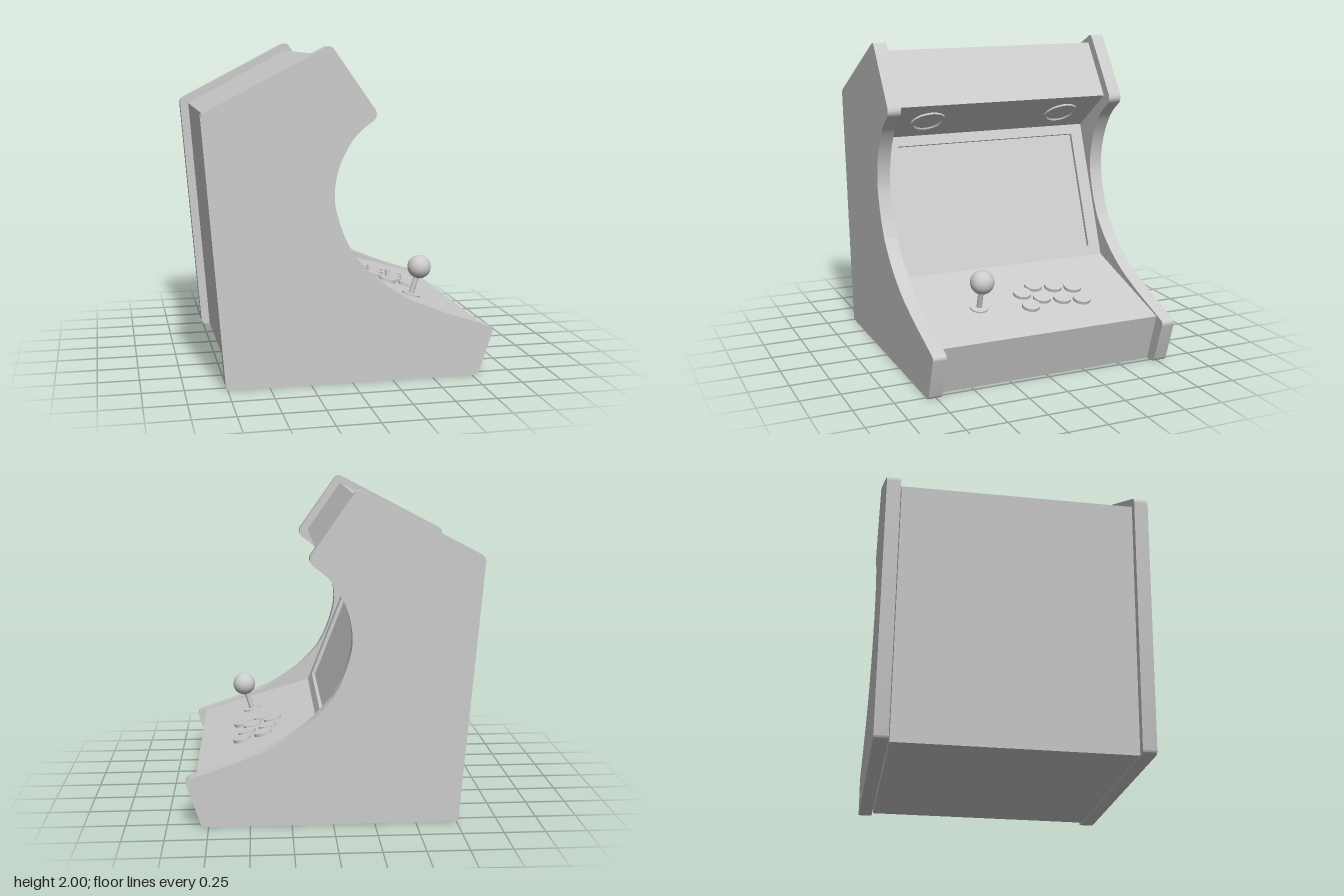
import * as THREE from 'three';
import { toCreasedNormals } from 'three/addons/utils/BufferGeometryUtils.js';

const grey = new THREE.MeshStandardMaterial({ color: 0xcccccc });

function addMesh(parent, name, geometry) {
  const mesh = new THREE.Mesh(geometry, grey);
  mesh.name = name;
  parent.add(mesh);
  return mesh;
}

function extrude(shape, z0, z1, crease = 0.45) {
  const g = new THREE.ExtrudeGeometry(shape, { depth: z1 - z0, bevelEnabled: false, curveSegments: 14 });
  g.translate(0, 0, z0);
  return toCreasedNormals(g, crease);
}

// Group whose local y axis points along the surface normal (nx, ny)
function mount(parent, name, x, y, z, nx, ny) {
  const group = new THREE.Group();
  group.name = name;
  group.position.set(x, y, z);
  group.rotation.z = Math.atan2(-nx, ny);
  parent.add(group);
  return group;
}

// Cabinet side outline with rounded corners and a curved cutout
function sideShape() {
  const v = (x, y) => new THREE.Vector2(x, y);
  const s = new THREE.Shape();
  s.moveTo(-0.73, 0);
  s.lineTo(0.765, 0);
  s.quadraticCurveTo(0.79, 0, 0.798, 0.025);
  s.lineTo(0.878, 0.268);
  s.quadraticCurveTo(0.885, 0.292, 0.86, 0.302);
  s.lineTo(0.6, 0.391);
  s.splineThru([v(0.5, 0.43), v(0.35, 0.495), v(0.2, 0.59), v(0.09, 0.685), v(0.008, 0.779)]);
  s.splineThru([v(-0.045, 0.88), v(-0.085, 0.99), v(-0.109, 1.1), v(-0.103, 1.22),
    v(-0.068, 1.34), v(-0.005, 1.455), v(0.055, 1.52), v(0.118, 1.568)]);
  s.quadraticCurveTo(0.153, 1.598, 0.128, 1.638);
  s.lineTo(-0.115, 1.982);
  s.quadraticCurveTo(-0.135, 2.01, -0.167, 1.993);
  s.lineTo(-0.862, 1.63);
  s.quadraticCurveTo(-0.888, 1.616, -0.885, 1.585);
  s.lineTo(-0.762, 0.03);
  s.quadraticCurveTo(-0.759, 0, -0.73, 0);
  return s;
}

export function createModel() {
  const model = new THREE.Group();
  model.name = 'arcadeCabinet';

  // Side panels
  const side = sideShape();
  addMesh(model, 'leftSidePanel', extrude(side, 0.72, 0.805));
  addMesh(model, 'rightSidePanel', extrude(side, -0.805, -0.72));

  // Body between the panels, with the screen face set back
  const zMin = -0.712, zMax = 0.72, recess = 0.025;
  const top = new THREE.Vector2(-0.25, 1.38), bottom = new THREE.Vector2(0.08, 0.53);
  const up = top.clone().sub(bottom).normalize();
  const out = new THREE.Vector2(up.y, -up.x);
  const topIn = top.clone().addScaledVector(out, -recess);
  const bottomIn = bottom.clone().addScaledVector(out, -recess);
  const body = new THREE.Shape([
    new THREE.Vector2(-0.705, 0.005), new THREE.Vector2(0.725, 0.005), new THREE.Vector2(0.82, 0.315),
    bottom, bottomIn, topIn, top,
    new THREE.Vector2(0.08, 1.62), new THREE.Vector2(-0.15, 1.95), new THREE.Vector2(-0.83, 1.59),
  ]);
  addMesh(model, 'body', extrude(body, zMin, zMax, 0.1));

  // Bezel around the recessed screen
  const length = top.distanceTo(bottom);
  const rect = (C, x0, y0, x1, y1) => new C([[x0, y0], [x1, y0], [x1, y1], [x0, y1]].map(p => new THREE.Vector2(...p)));
  const bezel = rect(THREE.Shape, -zMax, 0, -zMin, length);
  bezel.holes.push(rect(THREE.Path, -0.63, 0.065, 0.63, length - 0.065));
  const bezelMesh = addMesh(model, 'screenBezel', extrude(bezel, -recess, 0, 0.1));
  bezelMesh.applyMatrix4(new THREE.Matrix4().makeBasis(
    new THREE.Vector3(0, 0, -1), new THREE.Vector3(up.x, up.y, 0), new THREE.Vector3(out.x, out.y, 0),
  ).setPosition(bottom.x, bottom.y, 0));

  // Speaker rings under the marquee
  const ring = toCreasedNormals(new THREE.LatheGeometry(
    [[0.113, 0], [0.113, 0.012], [0.097, 0.012], [0.09, 0.003], [0, 0.003]].map(p => new THREE.Vector2(...p)), 40), 0.4);
  for (const z of [-0.47, 0.47]) {
    const speaker = mount(model, z > 0 ? 'leftSpeaker' : 'rightSpeaker', -0.085, 1.5, z, 0.588, -0.809);
    addMesh(speaker, 'speakerRing', ring);
  }

  // Control panel fittings
  const slope = 0.29;
  const onPanel = (name, x, z) => mount(model, name, x, 0.315 + (0.82 - x) * slope, z, slope, 1);

  // Buttons: two per column
  const cap = new THREE.CylinderGeometry(0.057, 0.057, 0.02, 32).translate(0, 0.01, 0);
  for (const [x, z] of [[0.415, -0.323], [0.383, -0.2], [0.35, -0.074], [0.415, 0.033]]) {
    for (const dx of [0, 0.133]) addMesh(onPanel('button', x + dx, z), 'buttonCap', cap);
  }

  // Joystick
  const stick = onPanel('joystick', 0.487, 0.357);
  addMesh(stick, 'joystickBase', new THREE.CylinderGeometry(0.058, 0.058, 0.01, 32).translate(0, 0.005, 0));
  addMesh(stick, 'joystickShaft', new THREE.CylinderGeometry(0.017, 0.017, 0.17, 20).translate(0, 0.085, 0));
  addMesh(stick, 'joystickBall', new THREE.SphereGeometry(0.075, 32, 20).translate(0, 0.188, 0));

  return model;
}
